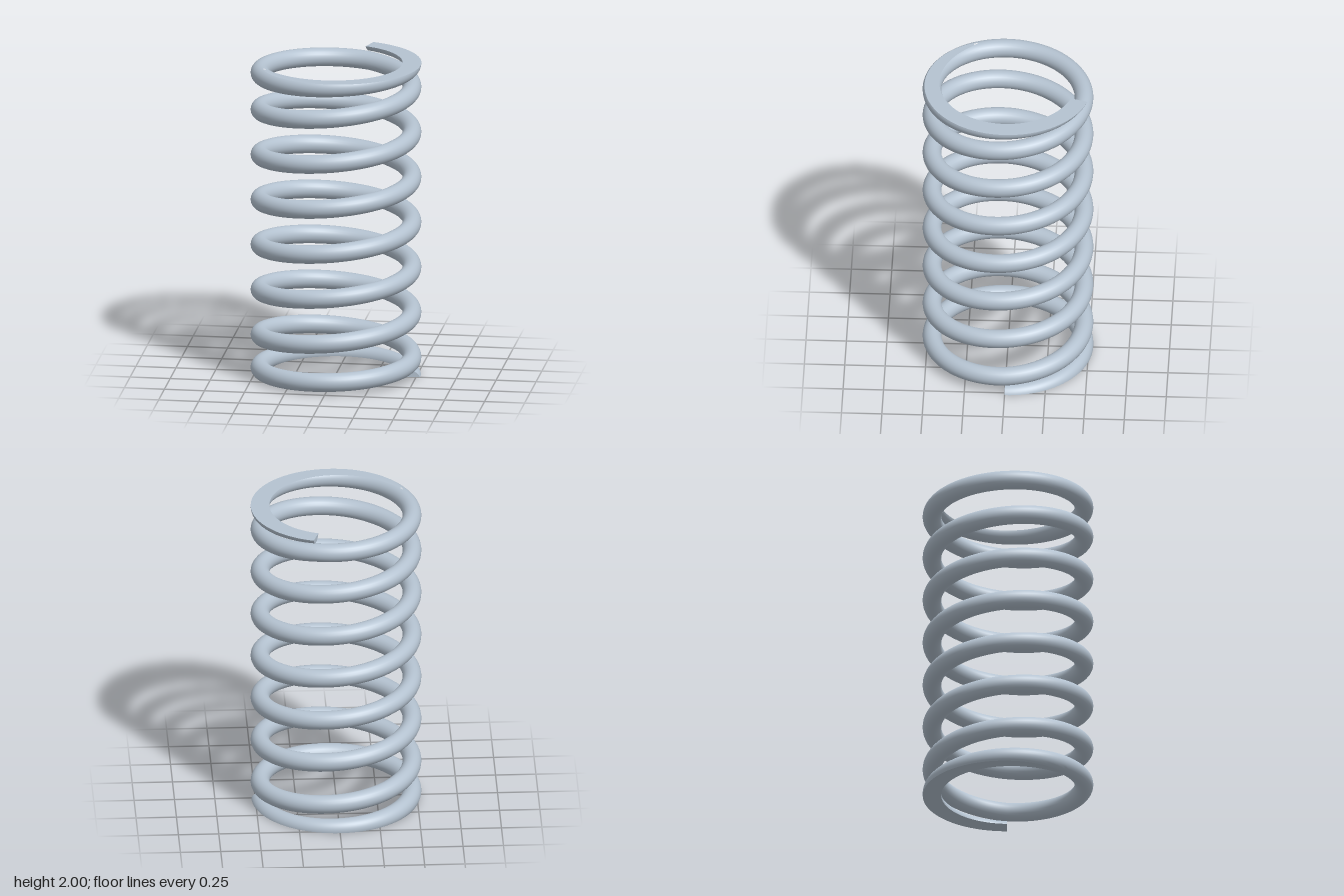
import * as THREE from 'three';

const COIL = 0.47, WIRE = 0.058, HEIGHT = 2;
const TURN = Math.PI * 2;
const TURNS = 8.2;              // total turns, first and last are closed
const END_PITCH = 0.125, START_Y = -0.02;
const STEPS = 820, ARC = 12;

// Height of the wire centre after u turns: closed end, open body, closed end
function centreY(u) {
  const low = START_Y + END_PITCH;
  const high = HEIGHT - low;
  if (u < 1) return START_Y + END_PITCH * u;
  if (u > TURNS - 1) return high + END_PITCH * (u - TURNS + 1);
  return low + (high - low) * (u - 1) / (TURNS - 2);
}

// Point and normal on the wire at turn u, section angle a (0 = outside)
function wirePoint(u, a) {
  const t = u * TURN;
  const r = COIL + WIRE * Math.cos(a);
  return {
    p: [r * Math.cos(t), centreY(u) + WIRE * Math.sin(a), -r * Math.sin(t)],
    n: [Math.cos(a) * Math.cos(t), Math.sin(a), -Math.cos(a) * Math.sin(t)],
  };
}

// Section angles left over after grinding the ends flat at y = 0 and y = HEIGHT
function limits(u) {
  const y = centreY(u);
  return [
    Math.asin(Math.max(-1, -y / WIRE)),
    Math.asin(Math.min(1, (HEIGHT - y) / WIRE)),
  ];
}

// Points of the outer or inner half of one section, from bottom to top
function arc(u, inner) {
  const [lo, hi] = limits(u);
  return Array.from({ length: ARC + 1 }, (_, j) => {
    const a = lo + (hi - lo) * j / ARC;
    return wirePoint(u, inner ? Math.PI - a : a);
  });
}

// Skin a list of equally long rows; a fixed normal may replace the point normals
function skin(rows, normal) {
  const w = rows[0].length, index = [];
  for (let i = 0; i < rows.length - 1; i++) {
    for (let j = 0; j < w - 1; j++) {
      const a = i * w + j, b = a + w;
      index.push(a, b, a + 1, b, b + 1, a + 1);
    }
  }
  const points = rows.flat();
  const geo = new THREE.BufferGeometry();
  geo.setAttribute('position', new THREE.Float32BufferAttribute(points.flatMap(q => q.p), 3));
  geo.setAttribute('normal', new THREE.Float32BufferAttribute(points.flatMap(q => normal || q.n), 3));
  geo.setIndex(index);
  return geo;
}

export function createModel() {
  const spring = new THREE.Group();
  spring.name = 'coilSpring';
  const steel = new THREE.MeshStandardMaterial({ color: 0xb4c2d0 });
  steel.name = 'steel';
  const add = (name, geo) => {
    const mesh = new THREE.Mesh(geo, steel);
    mesh.name = name;
    spring.add(mesh);
  };

  const us = Array.from({ length: STEPS + 1 }, (_, i) => TURNS * i / STEPS);

  // Round wire, outer and inner halves
  add('wireOuter', skin(us.map(u => arc(u, false))));
  add('wireInner', skin(us.map(u => arc(u, true).reverse())));

  // Flat ground faces at the bottom and top
  const bottom = us.filter(u => centreY(u) < WIRE);
  const top = us.filter(u => centreY(u) > HEIGHT - WIRE);
  add('bottomGroundFace', skin(bottom.map(u => {
    const a = limits(u)[0];
    return [wirePoint(u, Math.PI - a), wirePoint(u, a)];
  }), [0, -1, 0]));
  add('topGroundFace', skin(top.map(u => {
    const a = limits(u)[1];
    return [wirePoint(u, a), wirePoint(u, Math.PI - a)];
  }), [0, 1, 0]));

  // Cut ends of the wire
  const end = TURNS * TURN;
  add('bottomCutEnd', skin([arc(0, true), arc(0, false)], [0, 0, 1]));
  add('topCutEnd', skin([arc(TURNS, false), arc(TURNS, true)], [-Math.sin(end), 0, -Math.cos(end)]));

  return spring;
}
